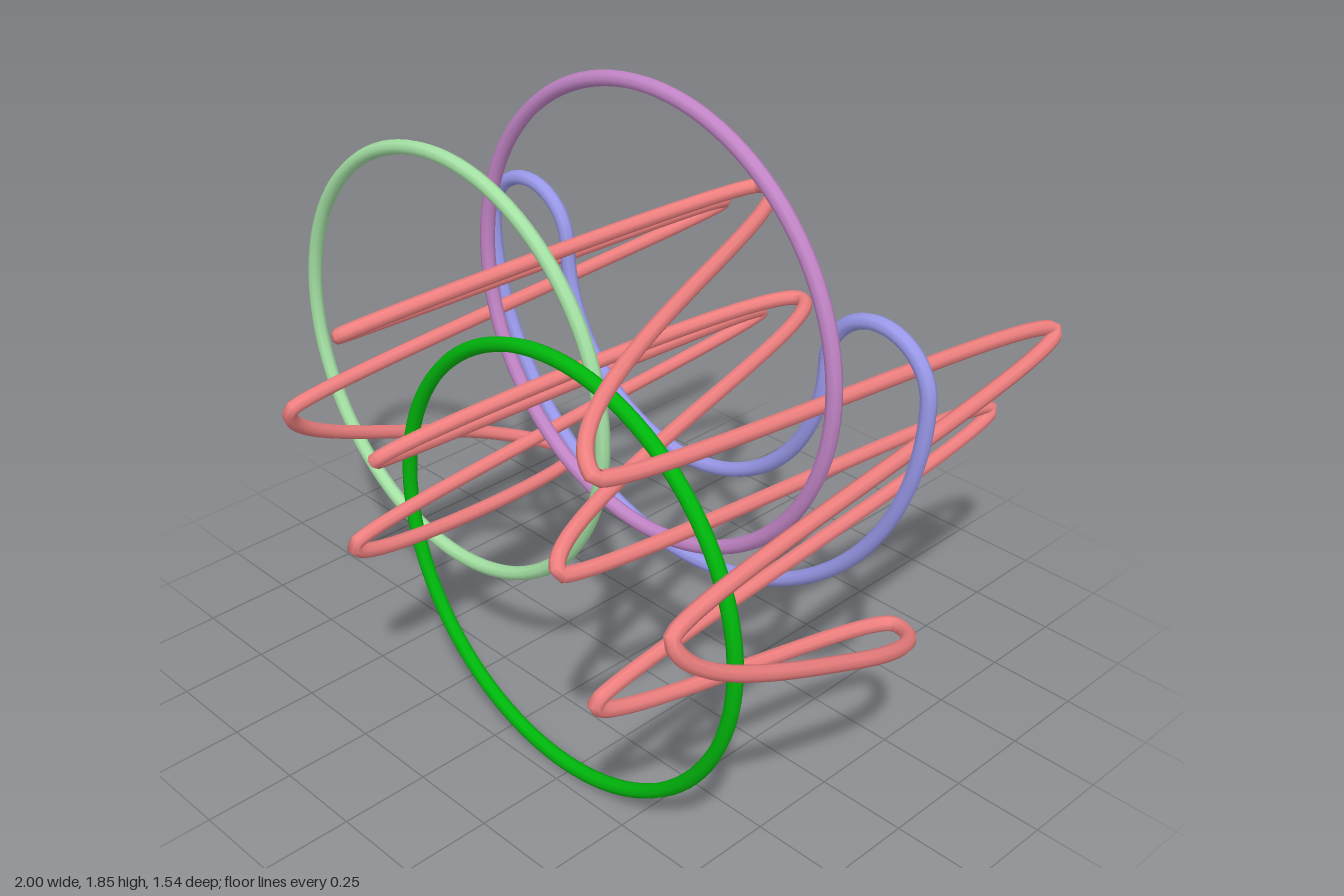
import * as THREE from 'three';

const U = 0.1508;        // spacing unit shared by all rings
const TUBE = 0.02;       // strand radius
const SIDES = 8;
const CX = 1 - 5 * U - TUBE;   // x centre of the right-hand rings
const BASE = 4 * U + TUBE;     // y centre of the lowest ring

// Arch outline (in units), parameter s in 0..10, running left from its top:
// outer arc radius 5, end cap radius 1, inner arc radius 3, and mirrored back.
function arch(s) {
  s = ((s % 10) + 10) % 10;
  if (s > 5) {
    const [x, y] = arch(10 - s);
    return [-x, y];
  }
  if (s <= 2.5) {
    const a = s * Math.PI / 5;
    return [-5 * Math.sin(a), 5 * Math.cos(a)];
  }
  if (s <= 3.5) {
    const a = (s - 2.5) * Math.PI;
    return [-4 - Math.cos(a), -Math.sin(a)];
  }
  const b = (s - 3.5) * Math.PI / 3;
  return [-3 * Math.cos(b), 3 * Math.sin(b)];
}

// Turning points of the weaving strand: [s, depth in units]
const side = [[1.024, 5], [1.426, -5], [1.845, 5], [3, -1], [3.5, 5], [3.867, -5], [4.197, 5]];
const KEYS = [
  [0.385, -3], ...side,
  [4.96, -3], ...side.map(([s, z]) => [10 - s, z]).reverse(),
  [10.385, -3],
];

// Smooth swing between neighbouring turning points
function weave(s) {
  if (s < KEYS[0][0]) s += 10;
  let i = 0;
  while (i < KEYS.length - 2 && s > KEYS[i + 1][0]) i++;
  const [s0, z0] = KEYS[i], [s1, z1] = KEYS[i + 1];
  const t = (s - s0) / (s1 - s0);
  return z0 + (z1 - z0) * (1 - Math.cos(Math.PI * t)) / 2;
}

class ArchCurve extends THREE.Curve {
  constructor(flip, depth) {
    super();
    this.flip = flip;
    this.depth = depth;
    this.arcLengthDivisions = 3000;
  }
  getPoint(t, target = new THREE.Vector3()) {
    const s = (t % 1) * 10;
    const [x, y] = arch(s);
    return target.set(x * U, y * U * this.flip, this.depth(s) * U);
  }
}

export function createModel() {
  const model = new THREE.Group();

  // Positions are in units relative to the lowest ring's centre
  const add = (name, geometry, color, x, y, z) => {
    const mesh = new THREE.Mesh(geometry, new THREE.MeshStandardMaterial({ color }));
    mesh.name = name;
    mesh.position.set(CX + x * U, BASE + y * U, z * U);
    model.add(mesh);
  };

  // Three flat round rings at stepped depths
  const ring = new THREE.TorusGeometry(4 * U, TUBE, SIDES, 96);
  add('lowerRing', ring, 0x00b80c, 0, 0, 3);
  add('sideRing', ring, 0xa6e3a6, -4, 2, 2);
  add('upperRing', ring, 0xc486c8, 0, 4, 1);

  // Flat U-shaped loop
  const flat = new ArchCurve(-1, () => 0);
  add('flatLoop', new THREE.TubeGeometry(flat, 200, TUBE, SIDES, true), 0x9a9aec, 0, 4, 0);

  // Arch-shaped loop weaving back and forth through the others
  const woven = new ArchCurve(1, weave);
  add('weavingLoop', new THREE.TubeGeometry(woven, 1200, TUBE, SIDES, true), 0xf08080, 0, 0, 0);

  return model;
}
